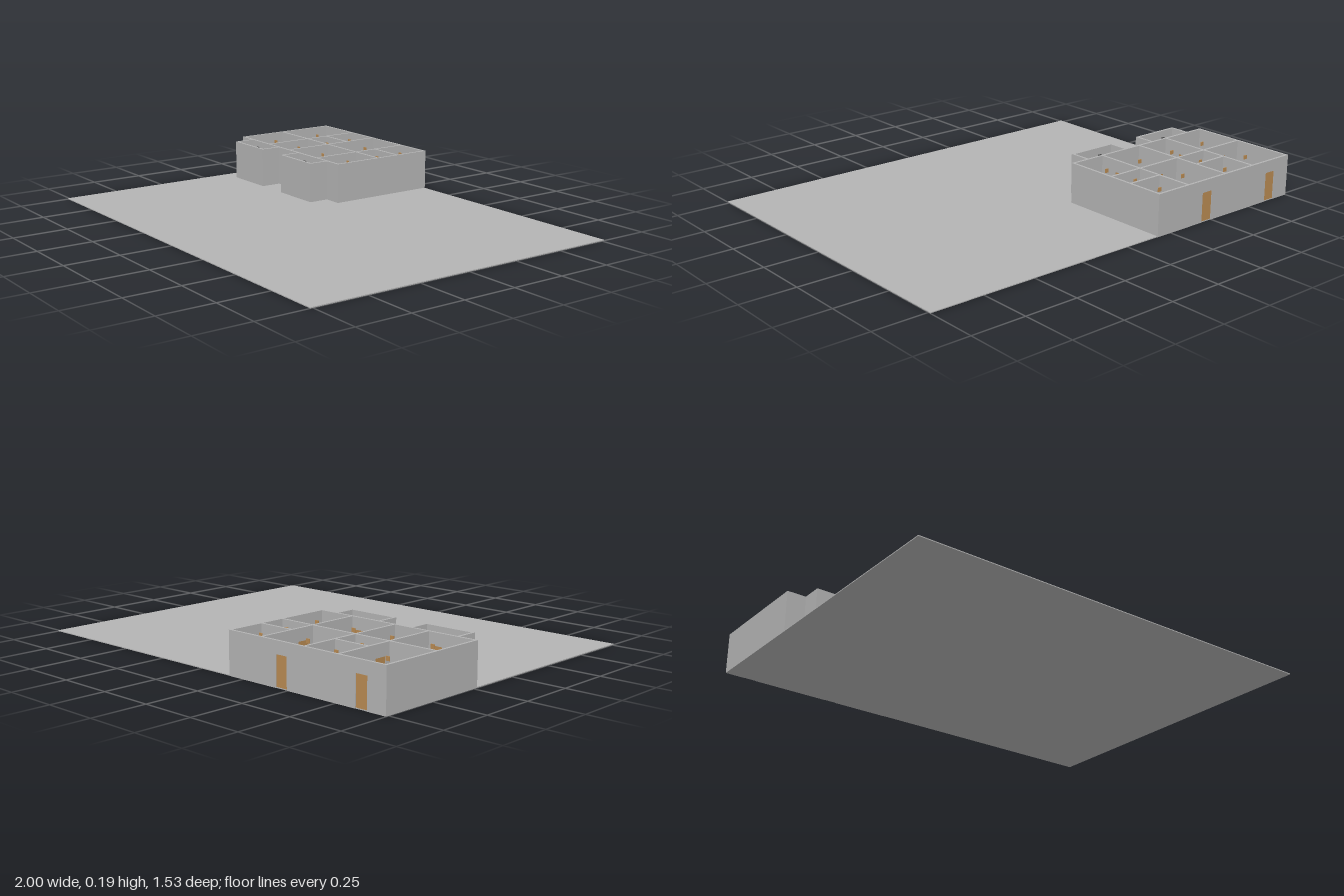
import * as THREE from 'three';

const H = 0.19, T = 0.011, FLOOR = 0.004;
const DOOR_W = 0.058, DOOR_H = 0.135;

export function createModel() {
  const model = new THREE.Group();
  model.name = 'floorPlanHouse';

  const mat = (name, color) => {
    const m = new THREE.MeshStandardMaterial({ color });
    m.name = name;
    return m;
  };
  const plaster = mat('plaster grey', 0xb4b4b4);
  const wood = mat('door wood', 0xb88a52);
  const dark = mat('dark grey', 0x4a4a4a);

  const box = (parent, name, size, pos, material) => {
    const mesh = new THREE.Mesh(new THREE.BoxGeometry(...size), material);
    mesh.position.set(...pos);
    mesh.name = name;
    parent.add(mesh);
  };

  // Wall along x (or along z when turned), with doorways at the given coordinates
  const wall = (name, axis, at, from, to, doors = []) => {
    const group = new THREE.Group();
    group.name = name;
    const place = (part, a, b, y0, y1, t, material) => {
      const mid = (a + b) / 2, y = (y0 + y1) / 2;
      if (axis === 'x') box(group, part, [b - a, y1 - y0, t], [mid, y, at], material);
      else box(group, part, [t, y1 - y0, b - a], [at, y, mid], material);
    };
    let start = from;
    for (const d of doors) {
      const a = d - DOOR_W / 2, b = d + DOOR_W / 2;
      place('wallPanel', start, a, 0, H, T, plaster);
      place('lintel', a, b, DOOR_H, H, T, plaster);
      place('door', a, b, FLOOR, DOOR_H, 0.005, wood);
      start = b;
    }
    place('wallPanel', start, to, 0, H, T, plaster);
    model.add(group);
  };

  // Ground slab
  box(model, 'groundSlab', [2, FLOOR, 1.524], [0, FLOOR / 2, 0], plaster);

  // Outer walls and the long cross wall
  const h = T / 2;
  const west = -1 + h, east = -0.172 - h, back = -0.764 + h, front = -0.235, cross = -0.472;
  wall('backWall', 'x', back, -1, -0.172, [-0.88, -0.468]);
  wall('crossWall', 'x', cross, -1, -0.172, [-0.88, -0.468]);
  wall('frontWall', 'x', front, -1, -0.172, [-0.805, -0.395]);
  wall('rightOuterWall', 'z', west, back - h, front + h);
  wall('leftOuterWall', 'z', east, back - h, front + h);

  // Partitions between the columns of rooms
  wall('partyWall', 'z', -0.585, back, front);
  for (const x of [-0.761, -0.353]) wall('partition', 'z', x, back, front, [-0.675, -0.53, -0.354]);
  wall('smallRoomWall', 'x', -0.59, -0.761, -0.585);
  wall('smallRoomWall', 'x', -0.59, -0.353, east);

  // Two projecting balconies
  for (const x of [-0.789, -0.382]) {
    const r = 0.123;
    wall('balconyFront', 'x', -0.133 - h, x - r, x + r);
    for (const s of [-1, 1]) wall('balconySide', 'z', x + s * (r - h), front, -0.133);
  }

  // Small hanging tag in the middle of each room and balcony
  const tag = (x, z, material) => box(model, 'roomTag', [0.018, 0.018, 0.004], [x, 0.167, z], material);
  for (const dx of [0, 0.411]) {
    tag(-0.88 + dx, -0.618, wood);
    tag(-0.88 + dx, -0.356, wood);
    for (const z of [-0.677, -0.533, -0.356]) tag(-0.675 + dx, z, wood);
    tag(-0.791 + dx, -0.188, dark);
  }
  return model;
}
